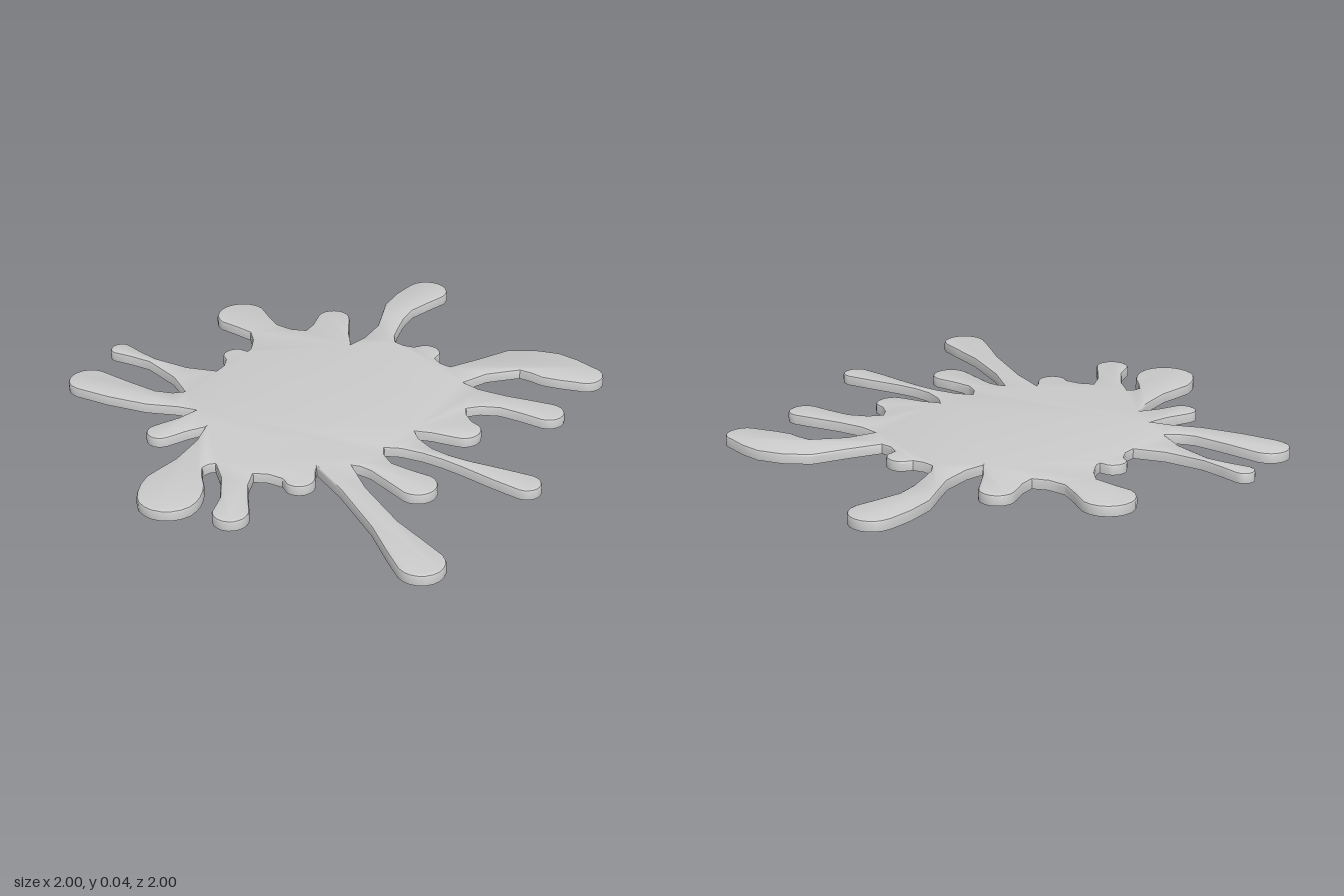
import * as THREE from 'three';
import { toCreasedNormals } from 'three/addons/utils/BufferGeometryUtils.js';

const HEIGHT = 0.04, BEVEL = 0.01;
const CENTRE = new THREE.Vector2(0, -0.13);

// Drips, clockwise seen from above: the notch [x, z] before each one,
// then its spine from neck to tip as [x, z, half width].
const DRIPS = [
  { notch: [-0.38, -0.515], spine: [[-0.315, -0.8, 0.018], [-0.345, -0.957, 0.043]] },
  { notch: [-0.185, -0.555], spine: [[-0.045, -0.595, 0.055]] },
  { notch: [0.045, -0.61], spine: [[0.185, -0.69, 0.065], [0.2, -0.843, 0.103]] },
  { notch: [0.3, -0.56], spine: [[0.455, -0.56, 0.068]] },
  { notch: [0.35, -0.345], spine: [[0.56, -0.345, 0.045], [0.72, -0.44, 0.064], [0.912, -0.465, 0.088]] },
  { notch: [0.495, -0.235], spine: [[0.515, -0.09, 0.063]] },
  { notch: [0.505, 0.06], spine: [[0.725, 0.2, 0.085], [0.8, 0.33, 0.108], [0.838, 0.47, 0.075]] },
  { notch: [0.45, 0.185], spine: [[0.45, 0.39, 0.05], [0.515, 0.56, 0.065]] },
  { notch: [0.31, 0.33], spine: [[0.19, 0.425, 0.07]] },
  { notch: [0.05, 0.31], spine: [[-0.015, 0.44, 0.026], [0.02, 0.6, 0.027], [0.083, 0.833, 0.057]] },
  { notch: [-0.115, 0.315], spine: [[-0.215, 0.4, 0.047], [-0.203, 0.57, 0.075]] },
  { notch: [-0.285, 0.32], spine: [[-0.465, 0.67, 0.05], [-0.537, 0.913, 0.087]] },
  { notch: [-0.385, 0.24], spine: [[-0.48, 0.25, 0.06]] },
  { notch: [-0.58, 0.115], spine: [[-0.735, 0.19, 0.052], [-0.8, 0.245, 0.066]] },
  { notch: [-0.635, -0.03], spine: [[-0.7, -0.1, 0.06], [-0.81, -0.045, 0.11], [-0.884, 0.01, 0.116]] },
  { notch: [-0.495, -0.255], spine: [[-0.635, -0.345, 0.054]] },
  { notch: [-0.44, -0.375], spine: [[-0.505, -0.57, 0.055], [-0.59, -0.843, 0.082]] },
];

// Walk out along one side of a drip, round its tip, and back along the other side
function dripOutline({ notch, spine }, nextNotch) {
  // The spine starts inside the body, behind the middle of its two notches
  const root = new THREE.Vector2(notch[0] + nextNotch[0], notch[1] + nextNotch[1])
    .multiplyScalar(0.5).lerp(CENTRE, 0.25);
  const out = [], back = [], cap = [];
  spine.forEach(([x, z, r], i) => {
    const [ax, az] = i > 0 ? spine[i - 1] : root.toArray();
    const [bx, bz] = spine[Math.min(i + 1, spine.length - 1)];
    const d = new THREE.Vector2(bx - ax, bz - az).normalize();
    const at = (angle) => {
      const side = r * Math.cos(angle), ahead = r * Math.sin(angle);
      return [x + side * d.y + ahead * d.x, z - side * d.x + ahead * d.y];
    };
    out.push(at(0));
    back.unshift(at(Math.PI));
    if (i === spine.length - 1) {
      for (let k = 1; k < 5; k++) cap.push(at(k * Math.PI / 5));
    }
  });
  return [notch, ...out, ...cap, ...back];
}

export function createModel() {
  const group = new THREE.Group();
  group.name = 'splat';

  // Smooth closed outline through all notches and drips
  const points = DRIPS
    .flatMap((drip, i) => dripOutline(drip, DRIPS[(i + 1) % DRIPS.length].notch))
    .map(([x, z]) => new THREE.Vector3(x, -z, 0));
  const curve = new THREE.CatmullRomCurve3(points, true, 'centripetal');
  const outline = curve.getPoints(points.length * 2).slice(0, -1);
  const shape = new THREE.Shape(outline.map((p) => new THREE.Vector2(p.x, p.y)));

  // Thin slab with a rounded upper rim
  const slab = new THREE.ExtrudeGeometry(shape, {
    depth: HEIGHT - BEVEL, bevelEnabled: true, bevelThickness: BEVEL,
    bevelSize: BEVEL, bevelOffset: -BEVEL, bevelSegments: 2,
  });
  slab.rotateX(-Math.PI / 2);

  // Level the lower rim so the underside is flat
  const pos = slab.attributes.position;
  for (let i = 0; i < pos.count; i++) pos.setY(i, Math.max(0, pos.getY(i)));

  const puddle = new THREE.Mesh(
    toCreasedNormals(slab, 0.6),
    new THREE.MeshStandardMaterial({ color: 0xcccccc }),
  );
  puddle.name = 'puddle';
  group.add(puddle);
  return group;
}
